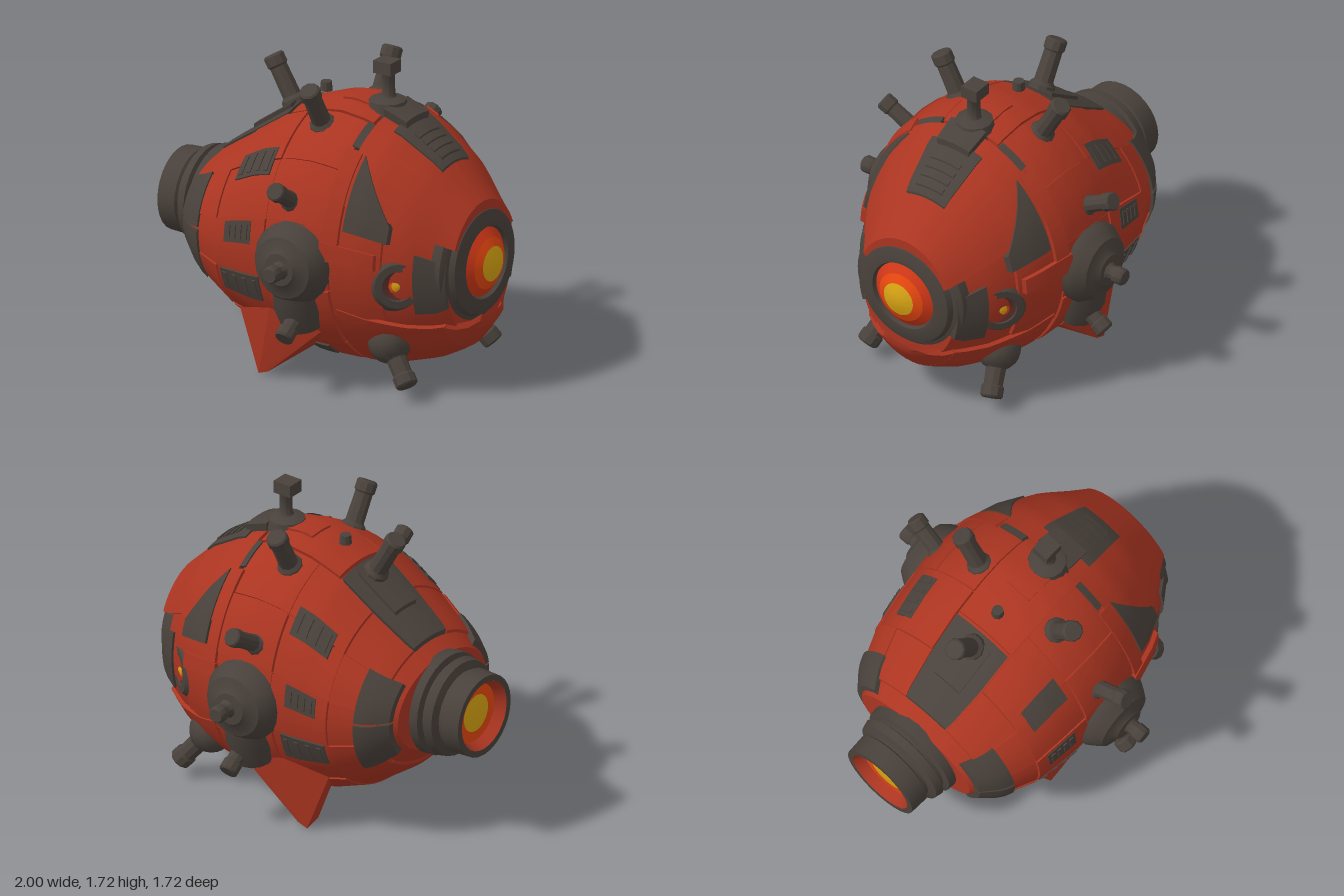
import * as THREE from 'three';
import { toCreasedNormals } from 'three/addons/utils/BufferGeometryUtils.js';
import { ConvexGeometry } from 'three/addons/geometries/ConvexGeometry.js';

const V = (x, y, z) => new THREE.Vector3(x, y, z);
const UP = V(0, 1, 0);
const mat = (name, color) => {
  const m = new THREE.MeshStandardMaterial({ color });
  m.name = name;
  return m;
};

// Hull cross-sections: x, top y, bottom y, half width
const SECTIONS = [
  [-0.72, 1.03, 0.48, 0.4], [-0.6, 1.12, 0.34, 0.5], [-0.4, 1.26, 0.2, 0.58],
  [-0.2, 1.4, 0.12, 0.61], [0, 1.475, 0.09, 0.63], [0.15, 1.495, 0.075, 0.635],
  [0.3, 1.475, 0.075, 0.62], [0.5, 1.4, 0.1, 0.56], [0.7, 1.27, 0.16, 0.46],
  [0.85, 1.12, 0.24, 0.35], [0.92, 1.05, 0.33, 0.3], [0.97, 0.98, 0.41, 0.26],
];

// Point on the hull; angle 0 is the top, +90 degrees the +z side
function hullPoint(x, angle, offset) {
  let i = 0;
  while (i < SECTIONS.length - 2 && x > SECTIONS[i + 1][0]) i++;
  const a = SECTIONS[i], b = SECTIONS[i + 1];
  const [, top, bottom, w] = a.map((v, k) => THREE.MathUtils.lerp(v, b[k], (x - a[0]) / (b[0] - a[0])));
  const h = (top - bottom) / 2;
  return V(x, (top + bottom) / 2 + (h + offset) * Math.cos(angle), (w + offset) * Math.sin(angle));
}

export function createModel() {
  const root = new THREE.Group();
  const red = mat('hull red', 0xab3521);
  const dark = mat('dark metal', 0x49413b);
  const yellow = mat('glow yellow', 0xdba614);
  const orange = mat('glow orange', 0xee4a10);
  const scarlet = mat('glow scarlet', 0xd03717);
  const maroon = mat('deep maroon', 0x5c2e29);

  const add = (name, geo, material, crease = 0.6) => {
    const mesh = new THREE.Mesh(toCreasedNormals(geo, crease), material);
    mesh.name = name;
    root.add(mesh);
    return mesh;
  };

  // Curved plate following the hull, angles in degrees; the first angle may slide to t0End along x.
  // side -1 mirrors it to the right
  function plate(name, material, x0, x1, t0, t1, offset, thick = 0.04, t0End = t0, side = 1) {
    const nx = Math.max(2, Math.ceil((x1 - x0) / 0.05));
    const nt = Math.max(2, Math.ceil((t1 - t0) / 6));
    const geo = new THREE.BoxGeometry(1, 1, 1, nx, 1, nt);
    const p = geo.attributes.position;
    for (let i = 0; i < p.count; i++) {
      const u = p.getX(i) + 0.5, v = 0.5 + side * p.getZ(i);
      const start = THREE.MathUtils.lerp(t0, t0End, u);
      const t = side * THREE.MathUtils.degToRad(THREE.MathUtils.lerp(start, t1, v));
      const q = hullPoint(x0 + u * (x1 - x0), t, offset + (p.getY(i) - 0.5) * thick);
      p.setXYZ(i, q.x, q.y, q.z);
    }
    return add(name, geo, material);
  }
  function plates(name, material, x0, x1, t0, t1, offset, thick, t0End) {
    plate(name + 'Left', material, x0, x1, t0, t1, offset, thick, t0End, 1);
    plate(name + 'Right', material, x0, x1, t0, t1, offset, thick, t0End, -1);
  }

  // Turned part with its axis along dir
  function turned(name, material, profile, pos, dir, sides = 32) {
    const geo = new THREE.LatheGeometry(profile.map(([r, y]) => new THREE.Vector2(r, y)), sides);
    const mesh = add(name, geo, material);
    mesh.position.copy(pos);
    mesh.quaternion.setFromUnitVectors(UP, dir.clone().normalize());
    return mesh;
  }

  // Stubby post with collar and slightly thicker tip
  function post(name, from, to, r) {
    const dir = to.clone().sub(from), l = dir.length();
    turned(name, dark, [[r * 1.45, -0.04], [r * 1.35, 0.02], [r, 0.04], [r * 0.95, l - 0.07],
      [r * 1.12, l - 0.06], [r * 1.12, l - 0.01], [r * 0.95, l], [0, l]], from, dir, 10);
  }

  // Hull
  plate('hull', red, -0.72, 0.89, -180, 180, -0.015, 0.25);

  // Armour panels of the rear half
  const rows = [[18, 47], [47.5, 75], [75.5, 103], [103.5, 136], [136.5, 180]];
  const columns = [[-0.64, -0.4], [-0.395, -0.06], [-0.053, 0.33]];
  columns.forEach(([x0, x1], c) => rows.forEach(([t0, t1], r) => {
    plates('rearPanel', red, x0, x1, t0, t1, 0.002 + 0.007 * ((c + r) % 2));
  }));
  plate('topPanel', red, -0.18, 0.34, -17, 17, 0.008);
  plate('topRib', red, 0.08, 0.34, -7, 7, 0.02);

  // Seam accents and raised flange between the halves
  plates('seam', dark, 0.32, 0.36, 18, 34, 0.012);
  plates('flange', red, 0.31, 0.39, 36, 80, 0.022);
  plates('sideRib', red, 0.3, 0.58, 80, 88, 0.03);
  plates('bellyPatch', dark, 0.08, 0.2, 142, 152, 0.012);

  // Upper brow, cheeks and lower jaw of the front half
  plates('brow', red, 0.36, 0.92, 0, 62, 0.012, 0.06);
  plates('cheek', red, 0.34, 0.6, 62, 116, 0.002);
  plates('jaw', red, 0.36, 0.86, 112, 180, 0.008, 0.06, 126);
  plates('jawLip', red, 0.855, 0.97, 126, 180, 0.008, 0.04, 156);
  plates('cheekPanel', dark, 0.41, 0.63, 36, 73, 0.022, 0.04, 64);
  plates('eyeCheek', dark, 0.75, 0.89, 74, 112, 0.004);

  // Side vents with slats
  for (const [x0, x1, t0, t1] of [[-0.33, -0.1, 41, 55], [-0.33, -0.15, 77, 88], [-0.37, -0.11, 104, 118]]) {
    plates('vent', dark, x0, x1, t0, t1, 0.013);
    for (let i = 0; i < 4; i++) {
      const x = x0 + 0.03 + i * (x1 - x0 - 0.06) / 3;
      plates('ventSlat', dark, x - 0.012, x + 0.012, t0 + 2, t1 - 2, 0.02, 0.02);
    }
  }

  // Dark armour around the tail and along the spine
  plates('tailGuard', dark, -0.7, -0.54, 46, 84, 0.02);
  plates('tailGuardLow', dark, -0.7, -0.54, 86, 126, 0.02);
  plate('rearSpine', dark, -0.64, -0.2, -17, 17, 0.012);
  plate('rearSpineRidge', dark, -0.48, -0.24, -9, 9, 0.035, 0.06);
  plate('frontSpine', dark, 0.46, 0.74, -16, 16, 0.025);
  plate('frontSpineBlock', dark, 0.36, 0.5, -10, 10, 0.06, 0.08);
  for (let i = 0; i < 4; i++) plate('spineSlat', dark, 0.55 + i * 0.045, 0.575 + i * 0.045, -10, 10, 0.035, 0.03);

  // Main eye: dark socket and stepped glow
  const eyePos = V(0.8, 0.72, 0), front = V(1, 0, 0);
  turned('eyeSocket', dark, [[0.36, 0.02], [0.35, 0.07], [0.32, 0.09], [0.3, 0.095], [0.285, 0.125],
    [0.235, 0.14], [0.2, 0.14], [0.188, 0.11]], eyePos, front, 40);
  turned('eyeRim', scarlet, [[0.19, 0.12], [0.143, 0.155]], eyePos, front, 40);
  turned('eyeRing', orange, [[0.143, 0.155], [0.096, 0.179]], eyePos, front, 40);
  turned('eyeCentre', yellow, [[0.096, 0.179], [0.05, 0.195], [0, 0.2]], eyePos, front, 40);

  // Tail thruster
  const tailPos = V(-0.6, 0.74, 0), back = V(-1, 0, 0);
  turned('thruster', dark, [[0.29, 0.09], [0.285, 0.17], [0.25, 0.18], [0.25, 0.195],
    [0.275, 0.205], [0.265, 0.25], [0.22, 0.265], [0.22, 0.28], [0.235, 0.29], [0.23, 0.4], [0.195, 0.4]], tailPos, back, 28);
  turned('thrusterWall', red, [[0.195, 0.4], [0.165, 0.34]], tailPos, back);
  turned('thrusterGlow', orange, [[0.166, 0.34], [0.105, 0.345]], tailPos, back);
  turned('thrusterCore', yellow, [[0.105, 0.345], [0, 0.36]], tailPos, back);

  // Spine posts
  post('rearAntenna', V(-0.28, 1.37, 0), V(-0.42, 1.61, 0), 0.052);
  turned('mastBase', dark, [[0.12, -0.04], [0.1, 0.04], [0.05, 0.06], [0, 0.06]], V(0.31, 1.47, 0), UP, 12);
  post('mast', V(0.315, 1.5, 0), V(0.315, 1.72, 0), 0.037);
  const head = add('mastHead', new THREE.BoxGeometry(0.11, 0.07, 0.1), dark);
  head.position.set(0.305, 1.695, 0);
  turned('topKnob', dark, [[0.035, 0], [0.03, 0.05], [0, 0.05]], V(-0.08, 1.48, 0), UP, 10);

  for (const s of [1, -1]) {
    // Side posts radiating from the hull
    post('upperPost', V(0.08, 1.4, 0.27 * s), V(0.075, 1.635, 0.4 * s), 0.052);
    post('middlePost', V(0.08, 1.06, 0.56 * s), V(0.1, 1.18, 0.76 * s), 0.046);
    post('lowerPost', V(0.14, 0.47, 0.57 * s), V(0.14, 0.35, 0.74 * s), 0.048);

    // Side hub with hanging barrel
    turned('sideHub', dark, [[0.23, -0.04], [0.225, 0.04], [0.2, 0.08], [0.17, 0.12], [0.11, 0.135], [0.09, 0.155],
      [0, 0.16]], V(0.12, 0.74, 0.6 * s), V(0, 0, s), 20);
    post('hubPost', V(0.13, 0.74, 0.73 * s), V(0.13, 0.74, 0.86 * s), 0.042);
    turned('hubBarrel', dark, [[0, -0.04], [0.13, 0], [0.14, 0.14], [0.11, 0.26], [0, 0.28]],
      V(0.12, 0.62, 0.58 * s), V(0, -1, -0.22 * s), 14);

    // Small side eyes
    const pos = V(0.635, 0.67, 0.4 * s), out = V(0.62, -0.02, 0.78 * s);
    turned('sideEyeSocket', dark, [[0.165, -0.06], [0.16, 0.03], [0.125, 0.07], [0.085, 0.072], [0.07, 0.05]], pos, out, 20);
    turned('sideEyeRecess', maroon, [[0.08, 0.065], [0.048, 0.058]], pos, out, 20);
    turned('sideEyeRing', orange, [[0.05, 0.058], [0.034, 0.064]], pos, out, 16);
    turned('sideEyeGlow', yellow, [[0.036, 0.063], [0, 0.075]], pos, out, 16);

    // Jaw turrets
    const ball = add('jawTurret', new THREE.SphereGeometry(0.12, 14, 10), dark);
    ball.position.set(0.55, 0.3, 0.34 * s);
    post('jawBarrel', V(0.59, 0.25, 0.36 * s), V(0.71, 0.1, 0.41 * s), 0.055);

    // Lower fins
    const fin = [[-0.32, 0.35, 0.46], [0.23, 0.34, 0.51], [-0.08, 0.42, 0.54], [0.08, 0.25, 0.51],
      [0.1, 0.2, 0.38], [-0.26, 0.24, 0.36], [-0.19, 0.01, 0.48], [-0.15, 0.02, 0.4], [-0.21, 0.05, 0.41], [-0.13, 0.03, 0.48]];
    add('fin', new ConvexGeometry(fin.map(([x, y, z]) => V(x, y, z * s))), red, 0.3);
  }
  return root;
}
